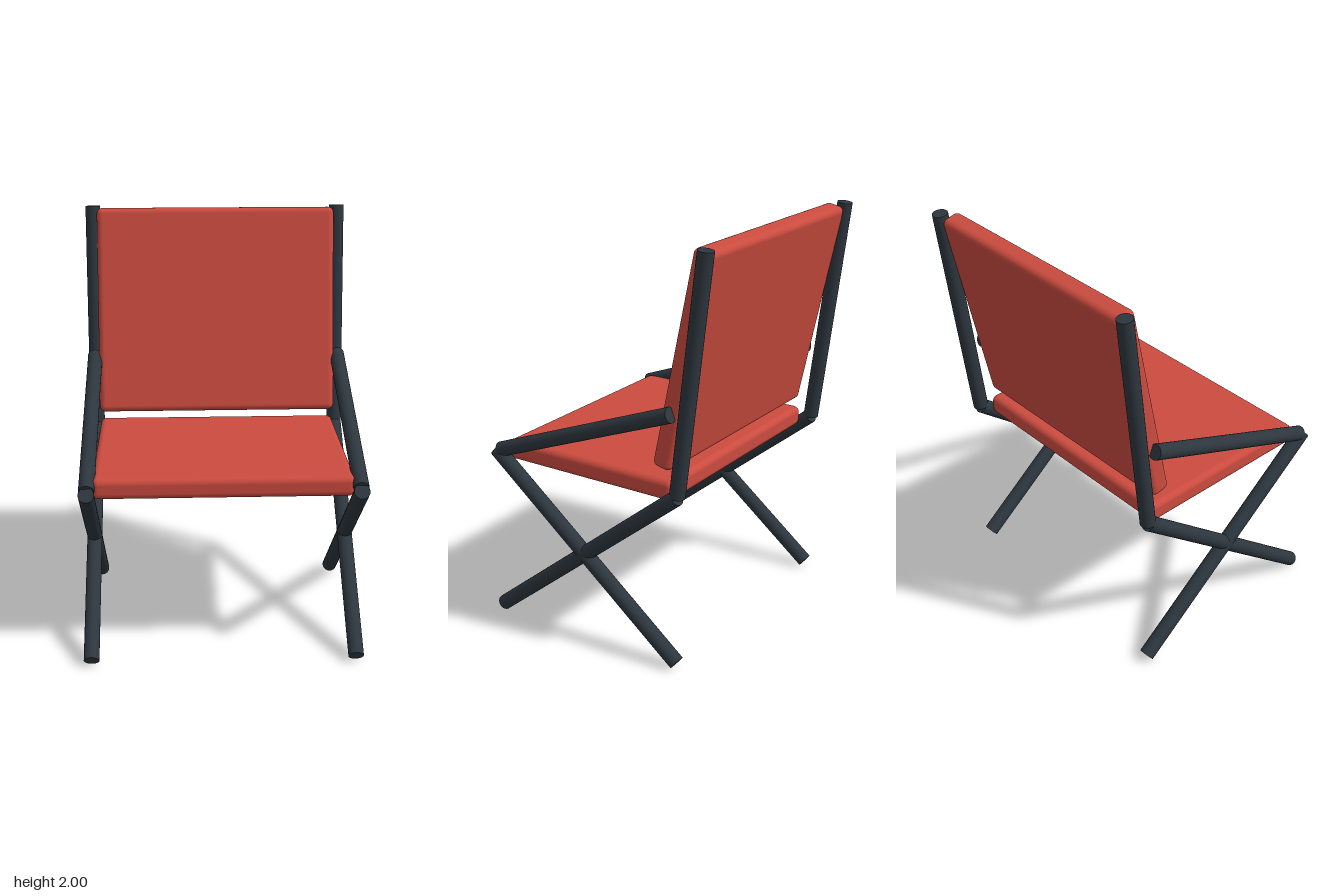
import * as THREE from 'three';
import { RoundedBoxGeometry } from 'three/addons/geometries/RoundedBoxGeometry.js';

export function createModel() {
  const model = new THREE.Group();
  model.name = 'foldingChair';

  const red = new THREE.MeshStandardMaterial({ color: 0xcb4b3f });
  red.name = 'redFabric';
  const dark = new THREE.MeshStandardMaterial({ color: 0x2d363e });
  dark.name = 'darkMetal';

  const TUBE_R = 0.037;
  const FRAME_X = 0.627;
  const UP = new THREE.Vector3(0, 1, 0);

  // Straight round bar between two [y, z] points in the side plane at x
  function bar(name, x, [y0, z0], [y1, z1]) {
    const a = new THREE.Vector3(x, y0, z0);
    const b = new THREE.Vector3(x, y1, z1);
    const dir = b.clone().sub(a);
    const mesh = new THREE.Mesh(new THREE.CylinderGeometry(TUBE_R, TUBE_R, dir.length(), 24), dark);
    mesh.position.copy(a).add(b).multiplyScalar(0.5);
    mesh.quaternion.setFromUnitVectors(UP, dir.normalize());
    mesh.name = name;
    return mesh;
  }

  // Crossed legs, armrest and back post on each side
  for (const [side, x] of [['left', FRAME_X], ['right', -FRAME_X]]) {
    const frame = new THREE.Group();
    frame.name = side + 'Frame';
    frame.add(
      bar('frontFootLeg', x, [0.031, 0.597], [0.867, -0.446]),
      bar('rearFootLeg', x, [0.031, -0.446], [0.867, 0.597]),
      bar('armrest', x, [0.872, 0.572], [1.249, -0.411]),
      bar('backPost', x, [0.87, -0.448], [1.995, -0.586])
    );
    model.add(frame);
  }

  // Padded seat
  const seat = new THREE.Mesh(new RoundedBoxGeometry(1.21, 0.1, 0.95, 4, 0.03), red);
  seat.position.set(0, 0.87, 0.075);
  seat.name = 'seatCushion';
  model.add(seat);

  // Reclined back cushion
  const back = new THREE.Mesh(new RoundedBoxGeometry(1.21, 1.04, 0.1, 4, 0.03), red);
  back.position.set(0, 1.478, -0.447);
  back.rotation.x = -0.209;
  back.name = 'backCushion';
  model.add(back);

  return model;
}
